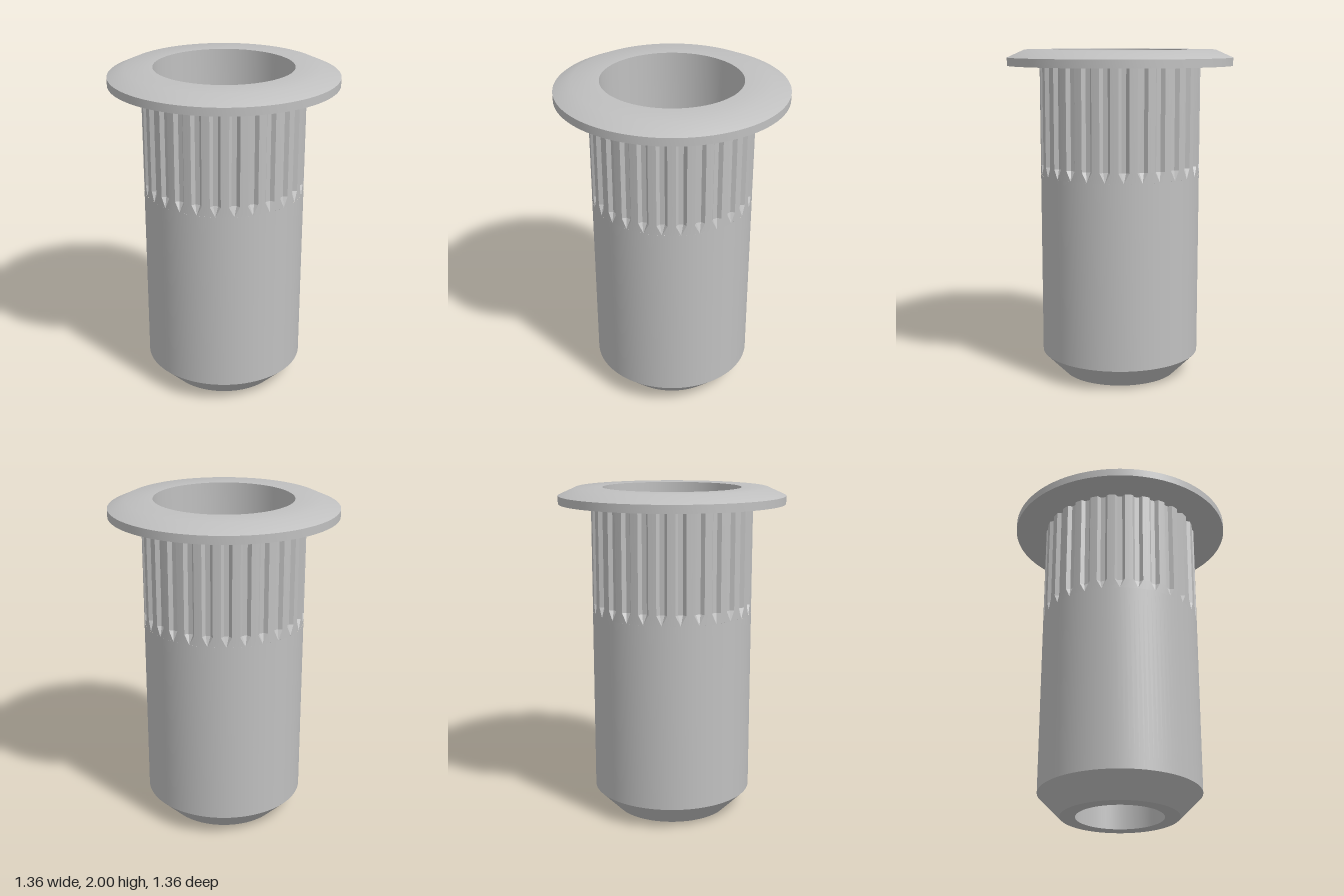
import * as THREE from 'three';
import { toCreasedNormals } from 'three/addons/utils/BufferGeometryUtils.js';

const R = 0.485;          // body radius
const SEGMENTS = 112;
const GROOVES = 28;

// Turned surface; neighbouring profile segments keep a sharp edge above the crease angle
function turned(name, profile, material, crease = 0.45) {
  const points = profile.map(([r, y]) => new THREE.Vector2(r, y));
  const geometry = toCreasedNormals(new THREE.LatheGeometry(points, SEGMENTS), crease);
  const mesh = new THREE.Mesh(geometry, material);
  mesh.name = name;
  return mesh;
}

// Sleeve with straight grooves that run out to points at the lower end
function knurlGeometry(yTip, yFull, yTop) {
  const pitch = (Math.PI * 2) / GROOVES;
  const depth = 0.022, mouth = 0.064, floor = 0.03; // mouth and floor are half-angles
  const rows = [[yTip, 0], [yFull, 1], [yTop, 1]];
  const positions = [], index = [];

  for (const [y, k] of rows) {
    for (let g = 0; g < GROOVES; g++) {
      const section = [
        [-mouth * k, R], [-floor * k, R - depth * k],
        [floor * k, R - depth * k], [mouth * k, R],
        [pitch / 2, R],
      ];
      for (const [offset, r] of section) {
        const a = g * pitch + offset;
        positions.push(r * Math.sin(a), y, r * Math.cos(a));
      }
    }
  }
  const n = GROOVES * 5;
  for (let row = 0; row < rows.length - 1; row++) {
    for (let i = 0; i < n; i++) {
      const a = row * n + i, b = row * n + ((i + 1) % n);
      // Grooves have no width on the first row, so only one triangle is needed there
      if (row > 0 || i % 5 > 2) index.push(a, b, b + n);
      index.push(a, b + n, a + n);
    }
  }
  const geometry = new THREE.BufferGeometry();
  geometry.setAttribute('position', new THREE.Float32BufferAttribute(positions, 3));
  geometry.setIndex(index);
  return toCreasedNormals(geometry, 0.22);
}

export function createModel() {
  const group = new THREE.Group();
  group.name = 'rivetNut';
  const steel = new THREE.MeshStandardMaterial({ color: 0xc0c0c0 });
  steel.name = 'steel grey';

  // Lower end, chamfer and plain barrel
  group.add(turned('barrel', [[0.26, 0], [0.35, 0], [R, 0.135], [R, 1.25]], steel));

  // Grooved grip under the flange
  const knurl = new THREE.Mesh(knurlGeometry(1.25, 1.31, 1.905), steel);
  knurl.name = 'knurledGrip';
  group.add(knurl);

  // Flange with a bevelled, softly shaded top
  group.add(turned('flange', [
    [0.45, 1.905], [0.68, 1.905], [0.68, 1.953], [0.575, 2], [0.415, 2],
  ], steel));

  // Wide upper bore, conical step and narrow lower bore
  group.add(turned('bore', [[0.415, 2], [0.415, 0.95], [0.26, 0.795], [0.26, 0]], steel));

  return group;
}
